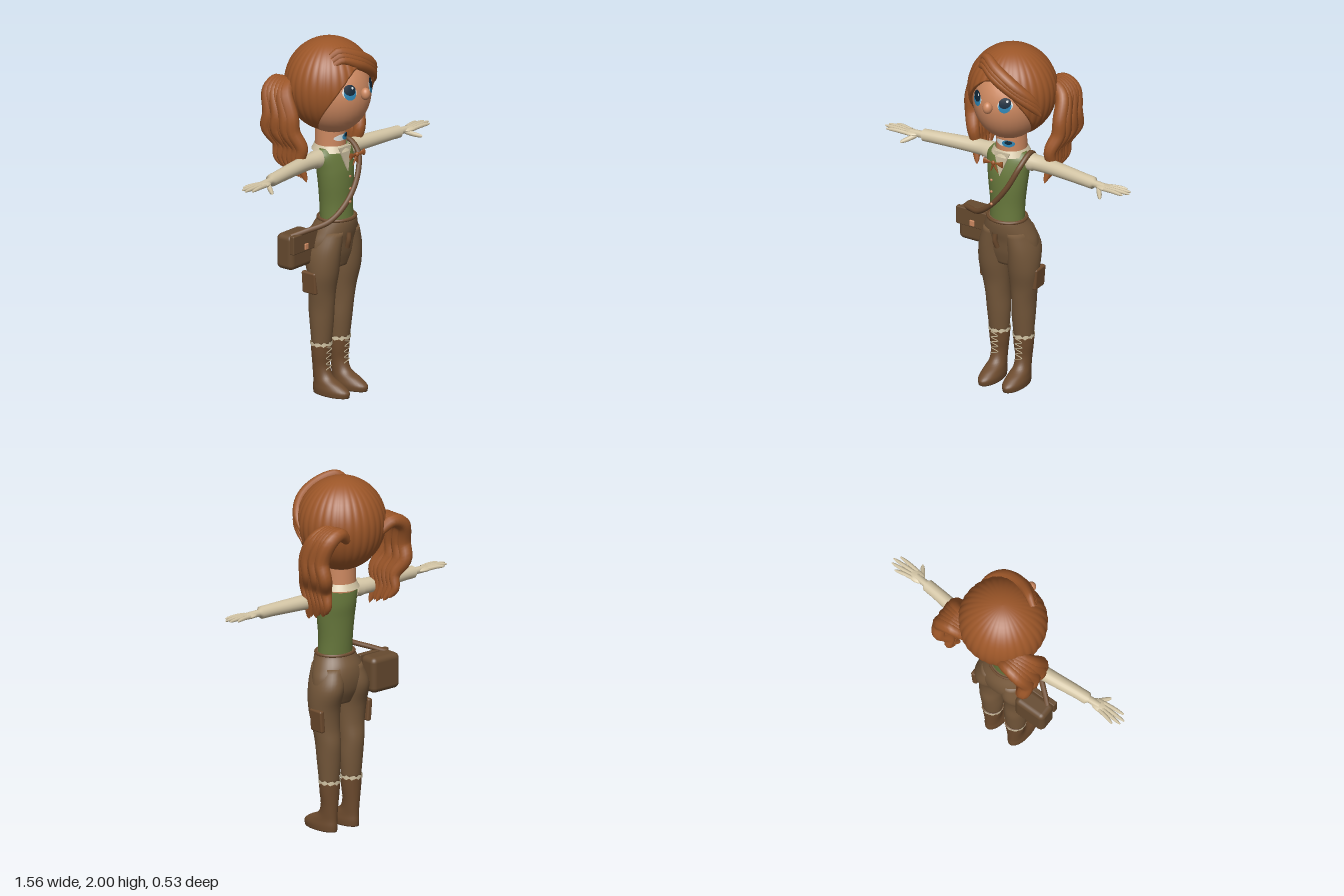
import * as THREE from 'three';
import { RoundedBoxGeometry } from 'three/addons/geometries/RoundedBoxGeometry.js';

const V = (x, y, z) => new THREE.Vector3(x, y, z);
const lerp = THREE.MathUtils.lerp;
const material = (name, color, side = THREE.FrontSide) => {
  const m = new THREE.MeshStandardMaterial({ color, side });
  m.name = name;
  return m;
};

// Smooth closed body from horizontal ellipses [x, y, z, radiusX, radiusZ], listed upwards
function loft(sections, steps = 28, n = 32) {
  const centre = new THREE.CatmullRomCurve3(sections.map(s => V(s[0], s[1], s[2])));
  const radius = new THREE.CatmullRomCurve3(sections.map(s => V(s[3], s[4], s[1])));
  const pos = [], idx = [];
  for (let i = 0; i <= steps; i++) {
    const c = centre.getPoint(i / steps), r = radius.getPoint(i / steps);
    for (let j = 0; j < n; j++) {
      const a = j / n * Math.PI * 2;
      pos.push(c.x + r.x * Math.cos(a), c.y, c.z + r.y * Math.sin(a));
      const k = (j + 1) % n, p = i * n;
      if (i < steps) idx.push(p + j, p + n + j, p + k, p + k, p + n + j, p + n + k);
    }
  }
  const base = pos.length / 3, top = steps * n;
  [sections[0], sections[sections.length - 1]].forEach(s => pos.push(s[0], s[1], s[2]));
  for (let j = 0; j < n; j++) {
    const k = (j + 1) % n;
    idx.push(base, j, k, base + 1, top + k, top + j);
  }
  const g = new THREE.BufferGeometry();
  g.setAttribute('position', new THREE.Float32BufferAttribute(pos, 3));
  g.setIndex(idx);
  g.computeVertexNormals();
  return g;
}

// Tube along points whose radius follows a rule of t
function taper(points, radiusAt, steps = 24, n = 10) {
  const curve = new THREE.CatmullRomCurve3(points);
  const g = new THREE.TubeGeometry(curve, steps, 1, n);
  const p = g.attributes.position, v = new THREE.Vector3();
  for (let i = 0; i <= steps; i++) {
    const c = curve.getPointAt(i / steps), r = Math.max(radiusAt(i / steps), 0.0005);
    for (let j = 0; j <= n; j++) {
      const q = i * (n + 1) + j;
      v.fromBufferAttribute(p, q).sub(c).multiplyScalar(r).add(c);
      p.setXYZ(q, v.x, v.y, v.z);
    }
  }
  return g;
}

// Ridged hair cap with an arched opening for the face
function hairCap() {
  const n = 192, rows = 28, pos = [], idx = [];
  for (let i = 0; i <= rows + 1; i++) for (let j = 0; j < n; j++) {
    const a = j / n * Math.PI * 2, away = Math.min(a, Math.PI * 2 - a);
    const arch = Math.pow((1 + Math.cos(Math.PI * Math.min(away / 1.55, 1))) / 2, 0.75);
    const yEnd = 1.487 + 0.383 * arch;
    const end = Math.acos((yEnd - 1.75) / (yEnd > 1.75 ? 0.25 : 0.27));
    const t = end * Math.min(i / rows, 1), s = Math.sin(t);
    const k = (i > rows ? 0.9 : 1) * (1 + 0.018 * (Math.abs(Math.sin(a * 16)) - 0.6) * s);
    const y = Math.cos(t);
    pos.push(0.245 * s * Math.sin(a) * k, 1.75 + y * (y > 0 ? 0.25 : 0.27), -0.02 + 0.24 * s * Math.cos(a) * k);
    const m = (j + 1) % n, p = i * n;
    if (i <= rows) idx.push(p + j, p + n + j, p + m, p + m, p + n + j, p + n + m);
  }
  const g = new THREE.BufferGeometry();
  g.setAttribute('position', new THREE.Float32BufferAttribute(pos, 3));
  g.setIndex(idx);
  g.computeVertexNormals();
  return g;
}

// Disc bent onto a surface given by z = depth(x, y)
function patch(x, y, rx, ry, depth, lift) {
  const g = new THREE.RingGeometry(0.001, 1, 24, 4);
  g.scale(rx, ry, 1).translate(x, y, 0);
  const p = g.attributes.position;
  for (let i = 0; i < p.count; i++) p.setZ(i, depth(p.getX(i), p.getY(i)) + lift);
  g.computeVertexNormals();
  return g;
}

export function createModel() {
  const model = new THREE.Group();
  const hair = material('hair auburn', 0x9c5628, THREE.DoubleSide);
  const skin = material('skin', 0xcc8860);
  const cream = material('cream cloth', 0xd2c4a4, THREE.DoubleSide);
  const green = material('vest green', 0x67783c);
  const brown = material('trouser brown', 0x74573a);
  const leather = material('boot leather', 0x6d4b2e);
  const bagBrown = material('bag brown', 0x664a2f);
  const blue = material('iris blue', 0x2f86b5);
  const navy = material('pupil navy', 0x10283a);
  const white = material('eye white', 0xdfe3e2);
  const add = (name, geometry, mat) => {
    const m = new THREE.Mesh(geometry, mat);
    m.name = name;
    model.add(m);
    return m;
  };
  const ball = (name, x, y, z, rx, ry, rz, mat) =>
    add(name, new THREE.SphereGeometry(1, 32, 24).scale(rx, ry, rz).translate(x, y, z), mat);

  // Head, nose and eyes
  ball('head', 0, 1.71, 0, 0.2, 0.24, 0.225, skin);
  ball('nose', 0, 1.73, 0.235, 0.027, 0.034, 0.027, skin);
  const face = (x, y) => 0.225 * Math.sqrt(Math.max(0, 1 - (x / 0.2) ** 2 - ((y - 1.71) / 0.24) ** 2));
  for (const s of [-1, 1]) {
    add('eyeWhite', patch(s * 0.088, 1.75, 0.036, 0.036, face, 0.002), white);
    add('iris', patch(s * 0.088, 1.745, 0.031, 0.037, face, 0.004), blue);
    add('pupil', patch(s * 0.088, 1.765, 0.029, 0.03, face, 0.006), navy);
    add('eyeGlint', patch(s * 0.088 + 0.012, 1.776, 0.006, 0.007, face, 0.008), white);
  }

  // Neck with its painted patches
  add('neck', new THREE.CylinderGeometry(0.083, 0.085, 0.16, 32).translate(0, 1.44, -0.01), skin);
  const neckFront = x => -0.01 + Math.sqrt(0.085 ** 2 - x * x);
  add('neckWhite', patch(-0.005, 1.45, 0.05, 0.018, neckFront, 0.002), white);
  add('neckBlue', patch(0.028, 1.45, 0.034, 0.02, neckFront, 0.004), blue);
  add('neckNavy', patch(0.03, 1.457, 0.02, 0.011, neckFront, 0.006), navy);

  // Hair cap, swept fringe and wavy side tails
  add('hairCap', hairCap(), hair);
  for (let i = 0; i < 3; i++) {
    const d = i * 0.022;
    add('fringeLock', taper([V(-0.12, 1.94 - d, 0.09 + d / 2), V(-0.08, 1.965 - d, 0.115 + d / 2),
      V(0.01, 1.93 - d, 0.16 + d / 3), V(0.12, 1.865 - d, 0.165), V(0.195, 1.79 - d, 0.12), V(0.225, 1.7 - d, 0.045)],
      t => 0.034 * Math.pow(Math.sin(Math.PI * (0.1 + 0.9 * t)), 0.6)), hair);
  }
  for (const s of [-1, 1]) for (let i = 0; i < 6; i++) {
    const k = i / 5, ox = (i % 2) * 0.01;
    const z = (front, back) => lerp(front, back, k);
    add('hairTailStrand', taper([
      V(s * 0.12, 1.71, z(-0.15, -0.2)), V(s * 0.19, 1.76, z(-0.14, -0.225)),
      V(s * 0.26, 1.725, z(-0.11, -0.225)), V(s * (0.28 + ox), 1.61, z(-0.055, -0.195)),
      V(s * (0.275 + ox), 1.52, z(-0.045, -0.215)), V(s * 0.245, 1.43, z(-0.01, -0.175)),
      V(s * 0.24, 1.35, z(-0.025, -0.185)), V(s * (0.215 + ox), lerp(1.23, 1.28, k) + ox, z(0, -0.145))],
      t => 0.042 * Math.pow(Math.sin(Math.PI * (0.15 + 0.85 * t)), 0.5), 36), hair);
  }

  // Vest, shirt front, collar, bow and buttons
  add('vest', loft([[0, 0.97, 0.035, 0.1, 0.085], [0, 1.08, 0.03, 0.1, 0.085], [0, 1.2, 0.028, 0.114, 0.087],
    [0, 1.28, 0.022, 0.124, 0.085], [0, 1.36, 0.015, 0.133, 0.066], [0, 1.395, 0.008, 0.1, 0.05]]), green);
  const vee = new THREE.Shape([[-0.05, 1.4], [0, 1.265], [0.05, 1.4]].map(p => new THREE.Vector2(...p)));
  const shirt = new THREE.ExtrudeGeometry(vee, { depth: 0.008, bevelEnabled: false });
  const sp = shirt.attributes.position;
  for (let i = 0; i < sp.count; i++) sp.setZ(i, sp.getZ(i) + lerp(0.108, 0.084, (sp.getY(i) - 1.265) / 0.135));
  add('shirtFront', shirt, cream);
  add('collar', new THREE.CylinderGeometry(0.09, 0.108, 0.035, 32, 1, true).translate(0, 1.39, -0.005), cream);
  ball('bowKnot', 0, 1.373, 0.178, 0.012, 0.014, 0.01, hair);
  for (const s of [-1, 1]) {
    const wing = add('bowWing', new THREE.ConeGeometry(0.02, 0.055, 12).scale(1, 1, 0.4), hair);
    wing.rotation.z = s * Math.PI / 2;
    wing.position.set(s * 0.032, 1.374, 0.178);
    add('bowTail', taper([V(0, 1.37, 0.176), V(s * 0.012, 1.34, 0.17), V(s * 0.024, 1.312, 0.166)],
      t => 0.008 * Math.sqrt(1 - t)), hair);
  }
  for (const y of [1.25, 1.18, 1.105]) ball('vestButton', -0.028, y, 0.152, 0.008, 0.008, 0.005, skin);

  // Hips with fly
  add('hips', loft([[0, 0.72, 0.012, 0.1, 0.07], [0, 0.8, 0.005, 0.165, 0.1], [0, 0.87, 0.006, 0.165, 0.112],
    [0, 0.93, 0.018, 0.142, 0.116], [0, 0.985, 0.034, 0.117, 0.105], [0, 1.0, 0.035, 0.113, 0.1]]), brown);
  add('waistband', new THREE.TorusGeometry(1, 0.07, 8, 40).rotateX(Math.PI / 2).scale(0.11, 0.13, 0.099).translate(0, 0.995, 0.035), leather);
  add('fly', taper([V(-0.015, 0.925, 0.133), V(-0.018, 0.88, 0.132), V(-0.012, 0.835, 0.118)], () => 0.014), leather);

  for (const s of [-1, 1]) {
    // Trouser leg and thigh pocket
    add('trouserLeg', loft([[s * 0.078, 0.27, -0.008, 0.055, 0.052], [s * 0.079, 0.4, -0.006, 0.065, 0.066],
      [s * 0.083, 0.5, -0.004, 0.068, 0.074], [s * 0.088, 0.59, 0.006, 0.076, 0.074], [s * 0.093, 0.7, 0.014, 0.087, 0.09],
      [s * 0.088, 0.82, 0.004, 0.086, 0.115], [s * 0.065, 0.93, 0.02, 0.07, 0.105]]), brown);
    const pocket = add('thighPocket', new RoundedBoxGeometry(0.03, 0.125, 0.095, 3, 0.01), leather);
    pocket.position.set(s * 0.168, 0.645, -0.015);
    pocket.rotation.z = -s * 0.08;

    // Boot with torn lining and laces
    add('boot', loft([[s * 0.077, 0, 0.06, 0.054, 0.118], [s * 0.077, 0.03, 0.06, 0.056, 0.12], [s * 0.077, 0.06, 0.04, 0.051, 0.098],
      [s * 0.077, 0.095, 0.004, 0.045, 0.062], [s * 0.077, 0.15, -0.01, 0.046, 0.05], [s * 0.077, 0.22, -0.01, 0.055, 0.053],
      [s * 0.077, 0.28, -0.01, 0.06, 0.056]]), leather);
    const lining = new THREE.CylinderGeometry(0.061, 0.061, 0.018, 28, 1, true);
    const lp = lining.attributes.position;
    for (let i = 0; i < lp.count; i++) lp.setY(i, lp.getY(i) + 0.006 * Math.sin(i * 2.3));
    add('bootLining', lining.translate(s * 0.077, 0.283, -0.01), cream);
    const lace = [];
    for (let i = 0; i < 9; i++) lace.push(V(s * 0.077 + (i % 2 ? 0.022 : -0.022), 0.14 + i * 0.016, 0.042 + (i > 5 ? 0.003 : 0)));
    add('bootLace', taper(lace, () => 0.0025, 48, 5), cream);

    // Sleeve, wrist and hand
    add('sleeve', taper([V(s * 0.1, 1.34, 0), V(s * 0.2, 1.337, -0.01), V(s * 0.35, 1.335, 0.002), V(s * 0.46, 1.333, 0.014), V(s * 0.555, 1.33, 0.022)],
      t => t > 0.99 ? 0.018 : t < 0.1 ? 0.05 : lerp(0.046, 0.033, t) + (t > 0.9 ? 0.001 : 0), 32, 20), cream);
    add('wrist', taper([V(s * 0.53, 1.33, 0.022), V(s * 0.57, 1.33, 0.024), V(s * 0.62, 1.328, 0.028)], () => 0.02), cream);
    ball('palm', s * 0.622, 1.328, 0.028, 0.055, 0.015, 0.036, cream);
    const tips = [[0.735, -0.016], [0.772, 0.008], [0.78, 0.034], [0.755, 0.064]];
    tips.forEach(([x, z], i) => {
      const z0 = 0.006 + i * 0.016;
      add('finger', taper([V(s * 0.63, 1.33, z0), V(s * 0.69, 1.333, lerp(z0, z, 0.5)), V(s * x, 1.33, z)],
        t => 0.0115 * Math.sqrt(1 - 0.9 * t ** 4), 14, 8), cream);
    });
    add('thumb', taper([V(s * 0.585, 1.322, 0.035), V(s * 0.61, 1.308, 0.07), V(s * 0.638, 1.296, 0.108)],
      t => 0.014 * Math.sqrt(1 - 0.9 * t ** 4), 14, 8), cream);
  }

  // Shoulder bag and strap
  add('bagStrap', taper([V(0.12, 1.37, -0.04), V(0.128, 1.395, 0.01), V(0.115, 1.34, 0.09), V(0.06, 1.22, 0.128),
    V(-0.03, 1.1, 0.13), V(-0.14, 1.01, 0.1), V(-0.25, 0.965, 0.02), V(-0.31, 0.94, -0.03)], () => 0.015, 48), leather);
  add('bagBody', new RoundedBoxGeometry(0.195, 0.2, 0.115, 4, 0.03).translate(-0.242, 0.85, -0.06), bagBrown);
  add('bagFlap', new RoundedBoxGeometry(0.205, 0.105, 0.03, 2, 0.006).translate(-0.24, 0.9, 0.0), bagBrown);
  add('bagClasp', new RoundedBoxGeometry(0.03, 0.034, 0.012, 2, 0.004).translate(-0.237, 0.875, 0.017), skin);

  return model;
}
